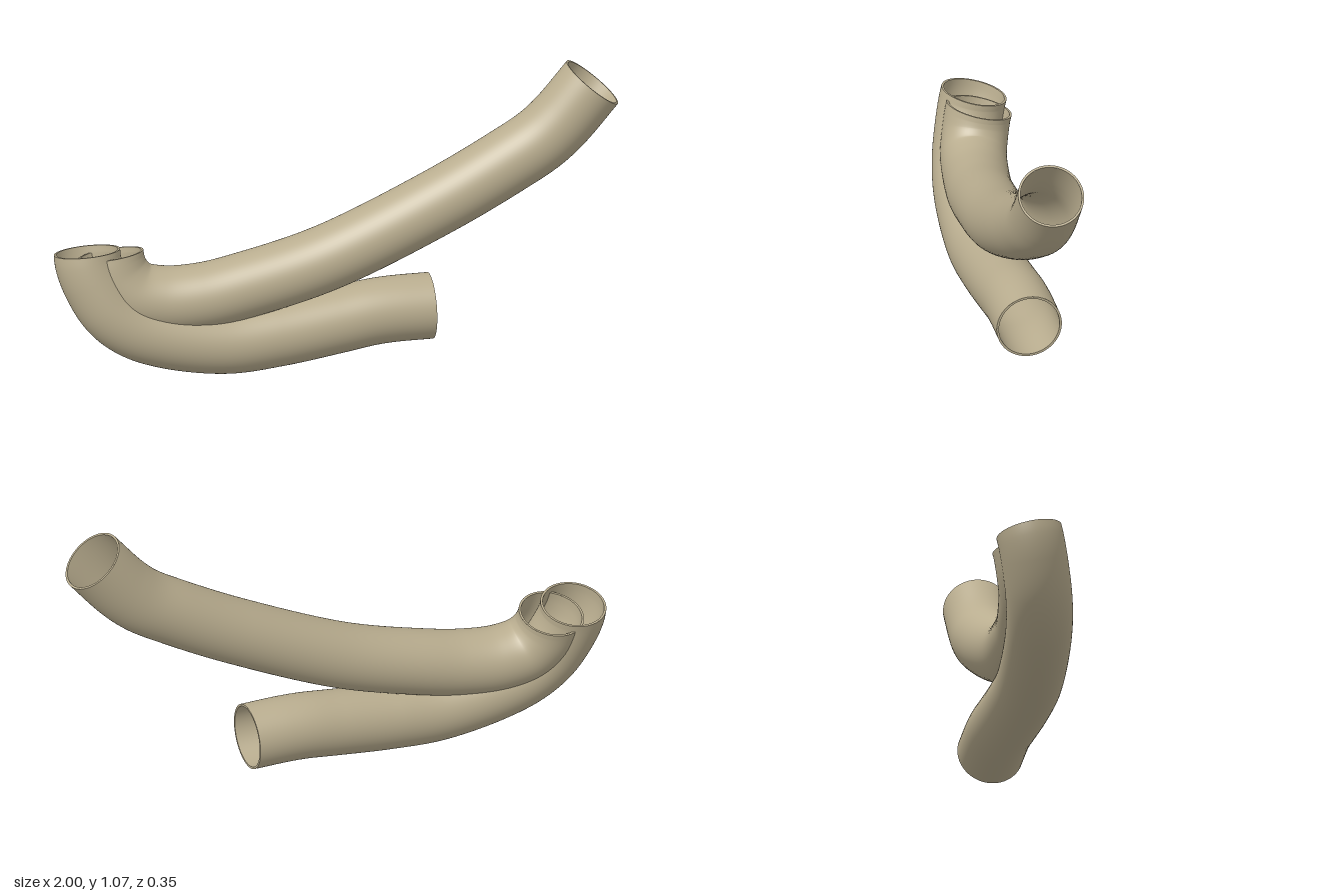
import * as THREE from 'three';
import { mergeGeometries } from 'three/addons/utils/BufferGeometryUtils.js';

const OUTER = 0.117, INNER = 0.109, SIDES = 64, STEPS = 120;

// Turn a surface inside out (winding and normals)
function flip(geometry) {
  const index = geometry.index.array;
  for (let i = 0; i < index.length; i += 3) {
    [index[i], index[i + 2]] = [index[i + 2], index[i]];
  }
  const normals = geometry.attributes.normal.array;
  for (let i = 0; i < normals.length; i++) normals[i] *= -1;
  return geometry;
}

// Flat lip closing the wall at one end of a pipe
function lip(point, direction) {
  const ring = new THREE.RingGeometry(INNER, OUTER, SIDES);
  const turn = new THREE.Quaternion().setFromUnitVectors(new THREE.Vector3(0, 0, 1), direction);
  return ring.applyQuaternion(turn).translate(point.x, point.y, point.z);
}

// Hollow bent pipe: outer wall, bore and two end lips
function pipe(name, points, material) {
  const path = new THREE.CatmullRomCurve3(points.map((p) => new THREE.Vector3(...p)));
  const geometry = mergeGeometries([
    new THREE.TubeGeometry(path, STEPS, OUTER, SIDES),
    flip(new THREE.TubeGeometry(path, STEPS, INNER, SIDES)),
    lip(path.getPointAt(0), path.getTangentAt(0).negate()),
    lip(path.getPointAt(1), path.getTangentAt(1)),
  ]);
  const mesh = new THREE.Mesh(geometry, material);
  mesh.name = name;
  return mesh;
}

export function createModel() {
  const model = new THREE.Group();
  model.name = 'bentPipes';
  const beige = new THREE.MeshStandardMaterial({ color: 0xb9ad8f });
  beige.name = 'beige';

  // Lower pipe lies in one leaning plane, from the upright mouth to the level outlet
  const lower = [
    [-0.882, 0.47], [-0.88, 0.435], [-0.86, 0.37], [-0.805, 0.27], [-0.73, 0.205],
    [-0.61, 0.157], [-0.4, 0.121], [-0.21, 0.131], [0, 0.158], [0.12, 0.175],
    [0.2, 0.18], [0.335, 0.18],
  ].map(([x, y]) => [x, y, -0.06 + (0.47 - y) * 0.24]);
  model.add(pipe('lowerPipe', lower, beige));

  // Upper pipe bends tightly, then climbs to the raised outlet
  const upper = [
    [-0.798, 0.452, -0.06], [-0.795, 0.425, -0.053], [-0.775, 0.37, -0.04],
    [-0.72, 0.313, -0.022], [-0.62, 0.288, -0.008], [-0.48, 0.294, 0.008],
    [-0.33, 0.325, 0.018], [-0.04, 0.41, 0.034], [0.365, 0.596, 0.048],
    [0.6, 0.725, 0.053], [0.72, 0.8, 0.055], [0.795, 0.868, 0.056], [0.907, 1.0, 0.057],
  ];
  model.add(pipe('upperPipe', upper, beige));

  return model;
}
